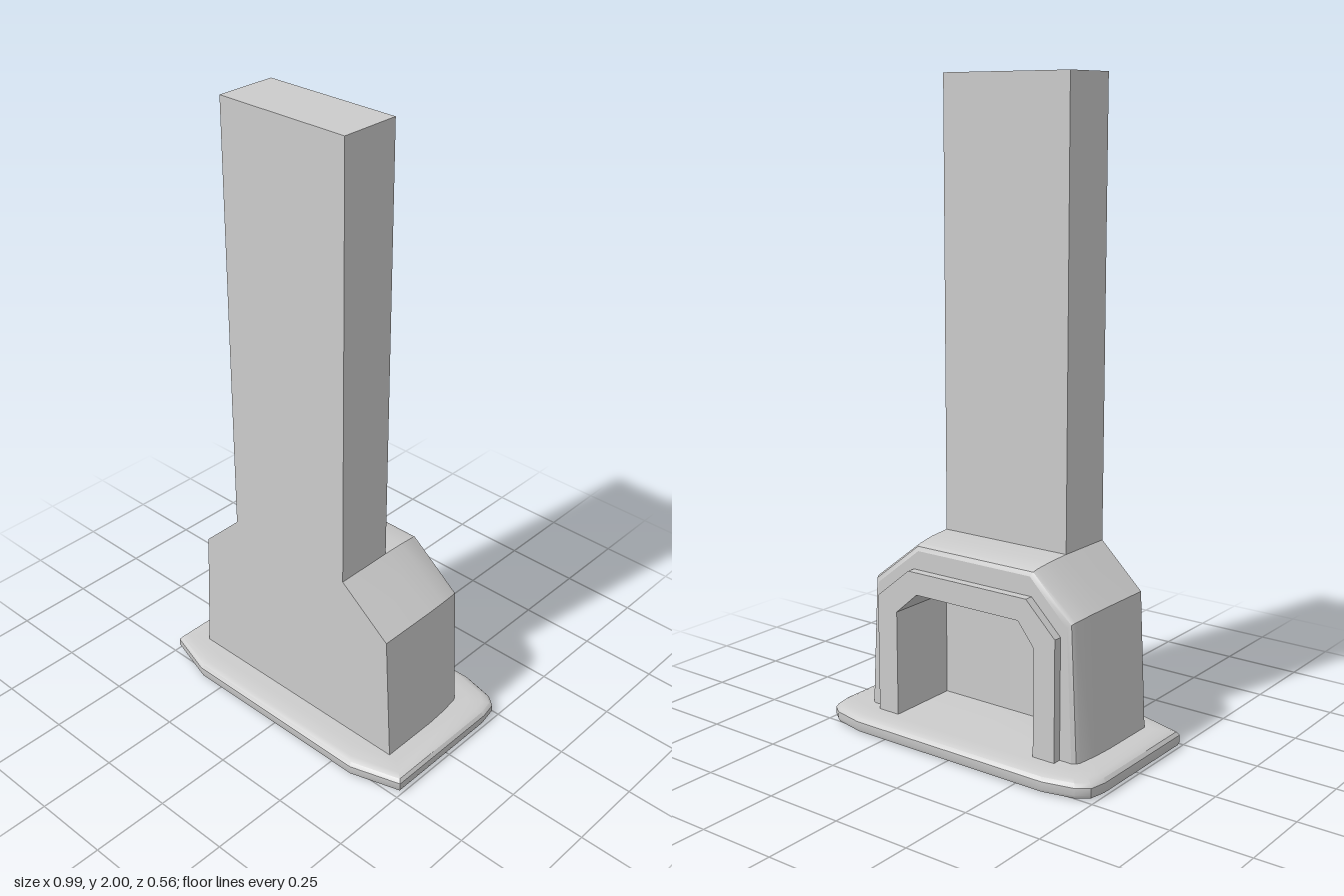
import * as THREE from 'three';
import { toCreasedNormals } from 'three/addons/utils/BufferGeometryUtils.js';

const solid = new THREE.MeshStandardMaterial({ color: 0xcccccc });
const thin = new THREE.MeshStandardMaterial({ color: 0xcccccc, side: THREE.DoubleSide });

// Skin over convex rings of equal length, each counter-clockwise seen from the last ring's side.
function loft(rings, capStart, capEnd, crease = 0.6) {
  const pos = [];
  const n = rings[0].length;
  const tri = (a, b, c) => pos.push(...a, ...b, ...c);
  for (let r = 0; r < rings.length - 1; r++) {
    const a = rings[r], b = rings[r + 1];
    for (let i = 0; i < n; i++) {
      const j = (i + 1) % n;
      tri(a[i], a[j], b[j]);
      tri(a[i], b[j], b[i]);
    }
  }
  const first = rings[0], last = rings[rings.length - 1];
  for (let i = 1; i < n - 1; i++) {
    if (capStart) tri(first[0], first[i + 1], first[i]);
    if (capEnd) tri(last[0], last[i], last[i + 1]);
  }
  const g = new THREE.BufferGeometry();
  g.setAttribute('position', new THREE.Float32BufferAttribute(pos, 3));
  g.computeVertexNormals();
  return toCreasedNormals(g, crease);
}

const toShape = pts => new THREE.Shape(pts.map(([x, y]) => new THREE.Vector2(x, y)));

export function createModel() {
  const group = new THREE.Group();
  const add = (name, geometry, material = solid) => {
    const mesh = new THREE.Mesh(geometry, material);
    mesh.name = name;
    group.add(mesh);
    return mesh;
  };

  // Hearth slab with clipped corners and a rounded rim: [inset, height]
  const plan = [
    [0.495, 0.23], [0.495, -0.18], [0.485, -0.235], [0.45, -0.262], [0.35, -0.284],
    [-0.35, -0.284], [-0.45, -0.262], [-0.487, -0.235], [-0.498, -0.18],
    [-0.498, 0.23], [-0.335, 0.28], [0.335, 0.28],
  ];
  const rim = [[0.02, 0], [0.004, 0.006], [0, 0.016], [0, 0.038], [0.008, 0.049], [0.025, 0.055], [0.06, 0.058]];
  add('hearthSlab', loft(rim.map(([d, y]) =>
    plan.map(([x, z]) => [x * (1 - d / 0.5), y, z * (1 - d / 0.28)])), true, true));

  // Body with sloping shoulders, tapering and softened towards the back: [inset, z]
  const outline = [
    [-0.408, 0.03], [0.405, 0.03], [0.38, 0.485], [0.205, 0.62], [-0.245, 0.62], [-0.385, 0.485],
  ];
  const inset = (d, z) => outline.map(([x, y]) => [x * (1 - d / 0.4), y * (1 - d / 0.6), z]);
  const backZ = -0.172;
  const sections = [[0.03, backZ], [0.018, -0.165], [0.012, -0.152], [0.004, -0.09], [0, -0.02], [0, 0.175]];
  add('body', loft(sections.map(([d, z]) => inset(d, z)), false, true));

  // Opening and its surround
  const opening = [
    [-0.26, 0.04], [0.255, 0.04], [0.255, 0.39], [0.175, 0.46], [-0.205, 0.46], [-0.26, 0.39],
  ];
  const arch = [
    [-0.335, 0.04], [0.33, 0.04], [0.33, 0.43], [0.207, 0.53], [-0.233, 0.53], [-0.335, 0.43],
  ];

  const backWall = toShape(inset(0.03, 0));
  backWall.holes.push(toShape(opening));
  add('backWall', new THREE.ShapeGeometry(backWall), thin).position.z = backZ;

  add('firebox', loft([backZ, 0.04].map(z => opening.map(([x, y]) => [x, y, z])), false, true, 0.3), thin);

  // U-shaped surround: up the outside, back along the inside
  const band = [...arch.slice(1), arch[0], opening[0], ...opening.slice(1).reverse()];
  add('openingSurround', new THREE.ExtrudeGeometry(toShape(band), { depth: 0.035, bevelEnabled: false }))
    .position.z = -0.2;

  // Chimney
  const chimney = add('chimney', new THREE.BoxGeometry(0.45, 1.38, 0.192));
  chimney.position.set(-0.02, 1.31, 0.079);

  return group;
}
